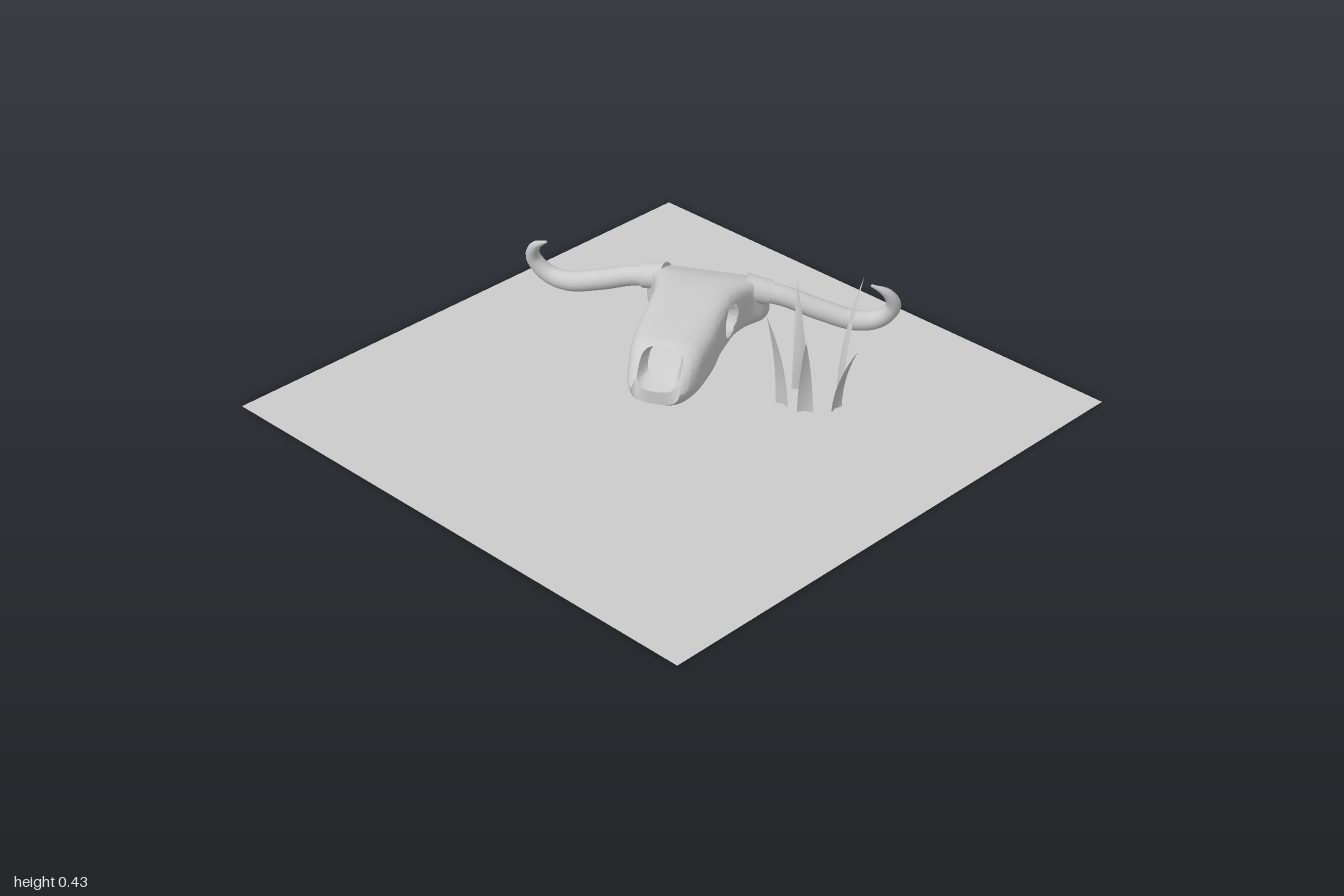
import * as THREE from 'three';
import { toCreasedNormals } from 'three/addons/utils/BufferGeometryUtils.js';

const grey = new THREE.MeshStandardMaterial({ color: 0xcccccc, side: THREE.DoubleSide });

function add(parent, name, geometry) {
  const mesh = new THREE.Mesh(geometry, grey);
  mesh.name = name;
  parent.add(mesh);
  return mesh;
}

// Joins equal closed rings of points into one surface
function loft(rings) {
  const n = rings[0].length, index = [];
  for (let i = 0; i < rings.length - 1; i++) {
    for (let j = 0; j < n; j++) {
      const k = (j + 1) % n, a = i * n + j, b = i * n + k, c = b + n, d = a + n;
      index.push(a, b, d, b, c, d);
    }
  }
  const g = new THREE.BufferGeometry().setFromPoints(rings.flat());
  g.setIndex(index);
  g.computeVertexNormals();
  return g;
}

// Smooth interpolation along a list of number rows
function sample(rows, t) {
  const f = t * (rows.length - 1), i = Math.min(Math.floor(f), rows.length - 2), u = f - i;
  const at = k => rows[Math.max(0, Math.min(rows.length - 1, k))];
  return rows[i].map((_, k) => {
    const [p, a, b, q] = [at(i - 1)[k], at(i)[k], at(i + 1)[k], at(i + 2)[k]];
    const m = (b - p) / 2, n = (q - a) / 2;
    return a + m * u + (3 * (b - a) - 2 * m - n) * u * u + (2 * (a - b) + m + n) * u ** 3;
  });
}

// Rounded-box ring; the upper part leans back by the slant
function skullRing([z, w, low, high, power, slant], scale = 1) {
  const ring = [], n = 96;
  for (let j = 0; j < n; j++) {
    const a = (j / n) * Math.PI * 2, c = Math.cos(a), s = Math.sin(a);
    const r = scale / (Math.abs(c) ** power + Math.abs(s) ** power) ** (1 / power);
    const y = (low + high) / 2 + (r * s * (high - low)) / 2;
    const p = new THREE.Vector3(r * c * w, y, z - slant * Math.max(0, y - 0.09));
    // Eye sockets: the sides sink inward
    const d = Math.hypot((p.y - 0.13) / 0.05, (p.z - 0.24) / 0.06);
    const side = THREE.MathUtils.smoothstep(Math.abs(c) * r, 0.75, 0.92);
    p.x *= 1 - 0.5 * side * (1 - THREE.MathUtils.smoothstep(d, 0.8, 1.05));
    ring.push(p);
  }
  return ring;
}

function skullGeometry() {
  // z, half width, bottom, top, squareness, slant
  const rows = [
    [0, 0.215, 0.02, 0.175, 7, 0],
    [0.04, 0.21, 0.015, 0.19, 6, 0],
    [0.1, 0.172, 0.015, 0.208, 5, 0],
    [0.18, 0.148, 0.02, 0.218, 4.5, 0],
    [0.26, 0.14, 0.025, 0.22, 4.5, 0],
    [0.35, 0.138, 0.03, 0.218, 4, 0],
    [0.45, 0.138, 0.02, 0.214, 3.6, 0.05],
    [0.57, 0.125, 0.018, 0.208, 3.4, 0.35],
    [0.65, 0.104, 0.028, 0.204, 3.2, 0.85],
    [0.685, 0.084, 0.045, 0.2, 3.2, 1.12]
  ];
  const rings = [skullRing(rows[0], 0.001), skullRing(rows[0], 0.95)];
  for (let i = 0; i <= 70; i++) rings.push(skullRing(sample(rows, i / 70)));
  // Nasal opening: rim, cavity wall and cavity floor
  const cavity = [0.62, 0.055, 0.105, 0.183, 3.2, 1];
  rings.push(skullRing([0.688, 0.072, 0.092, 0.196, 3.2, 1.12]));
  rings.push(skullRing(cavity), skullRing(cavity, 0.001));
  return toCreasedNormals(loft(rings), 0.75);
}

// Tapered horn sweeping out, dipping and hooking up
function hornGeometry() {
  const curve = new THREE.CatmullRomCurve3([
    [0.17, 0.145, 0.04], [0.27, 0.125, 0.02], [0.39, 0.08, 0], [0.52, 0.044, -0.022],
    [0.595, 0.06, -0.03], [0.642, 0.12, -0.022], [0.625, 0.18, 0.005], [0.575, 0.22, 0.035]
  ].map(p => new THREE.Vector3(...p)));
  const radii = [[0.036], [0.036], [0.037], [0.036], [0.032], [0.027], [0.018], [0.005]];
  const steps = 44, sides = 16, frames = curve.computeFrenetFrames(steps);
  const rings = [];
  for (let i = 0; i <= steps; i++) {
    const u = i / steps, c = curve.getPointAt(u);
    const [r] = sample(radii, curve.getUtoTmapping(u));
    const ring = scale => Array.from({ length: sides }, (_, j) => {
      const a = (j / sides) * Math.PI * 2;
      return c.clone().addScaledVector(frames.normals[i], Math.cos(a) * r * scale)
        .addScaledVector(frames.binormals[i], Math.sin(a) * r * scale);
    });
    rings.push(ring(1));
    if (i === steps) rings.push(ring(0.01));
  }
  return loft(rings);
}

// Pointed grass blade bending outward along +z
function bladeGeometry(height, lean) {
  const g = new THREE.PlaneGeometry(1, 1, 2, 12), p = g.attributes.position;
  for (let i = 0; i < p.count; i++) {
    const t = p.getY(i) + 0.5, x = p.getX(i);
    const w = 0.052 * (1 - t ** 1.6);
    p.setXYZ(i, x * w, 0.01 + t * (height - 0.01), lean * t ** 1.8 - 0.008 * (1 - t) * (1 - Math.abs(2 * x)));
  }
  g.computeVertexNormals();
  return g;
}

export function createModel() {
  const model = new THREE.Group();
  model.name = 'skullOnGround';

  // Ground
  add(model, 'ground', new THREE.PlaneGeometry(2, 2)).rotation.x = -Math.PI / 2;

  // Skull with mirrored horns and horn sockets
  const skull = new THREE.Group();
  skull.name = 'cattleSkull';
  skull.position.set(-0.322, 0, -0.508);
  skull.rotation.y = THREE.MathUtils.degToRad(29);
  model.add(skull);
  add(skull, 'cranium', skullGeometry());
  for (const side of [1, -1]) {
    const half = new THREE.Group();
    half.name = side > 0 ? 'leftHornGroup' : 'rightHornGroup';
    half.scale.x = side;
    skull.add(half);
    add(half, 'horn', hornGeometry());
    const socket = add(half, 'hornSocket', new THREE.CylinderGeometry(0.043, 0.05, 0.09, 20));
    socket.position.set(0.182, 0.146, 0.038);
    socket.rotation.set(0, 0.17, -Math.PI / 2 - 0.2, 'YZX');
  }

  // Grass tuft: base x, base z, tip x, tip z, height
  const grass = new THREE.Group();
  grass.name = 'grassTuft';
  model.add(grass);
  const blades = [
    [0.24, -0.355, 0.178, -0.4, 0.38], [0.27, -0.235, 0.272, -0.152, 0.38],
    [0.35, -0.435, 0.38, -0.5, 0.43], [0.355, -0.255, 0.41, -0.19, 0.325],
    [0.418, -0.34, 0.5, -0.342, 0.265]
  ];
  for (const [x, z, tx, tz, h] of blades) {
    const blade = add(grass, 'grassBlade', bladeGeometry(h, Math.hypot(tx - x, tz - z)));
    blade.position.set(x, 0, z);
    blade.rotation.y = Math.atan2(tx - x, tz - z);
  }
  return model;
}
